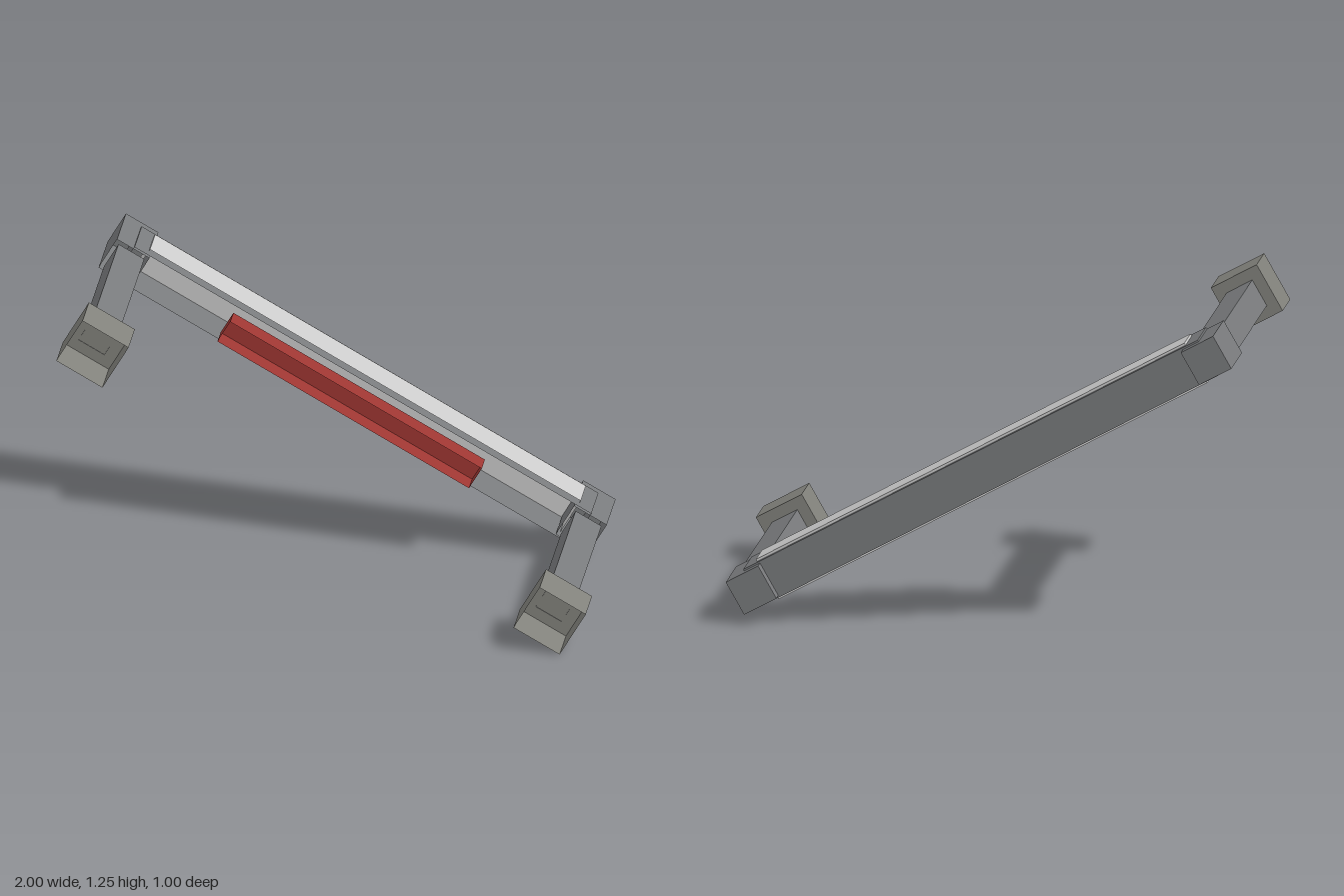
import * as THREE from 'three';

// Box from z0 (back) to z1, left open on its +z side like a shallow tray
function openBox(name, color, x, width, height, z0, z1) {
  const geo = new THREE.BoxGeometry(width, height, z1 - z0);
  const index = Array.from(geo.index.array);
  index.splice(24, 6); // drop the +z face
  geo.setIndex(index);
  geo.clearGroups();
  const material = new THREE.MeshStandardMaterial({ color, side: THREE.DoubleSide, flatShading: true });
  const mesh = new THREE.Mesh(geo, material);
  mesh.name = name;
  mesh.position.set(x, 0, (z0 + z1) / 2);
  return mesh;
}

export function createModel() {
  const model = new THREE.Group();
  model.name = 'slantedHandle';

  // Everything is built along x, then tilted
  const frame = new THREE.Group();
  frame.name = 'tiltedFrame';
  frame.position.y = 0.63;
  frame.rotation.z = -0.517;
  model.add(frame);

  const metal = 0x797b7d, foot = 0x82827c;

  // Crossbar with a pale insert showing above and below it
  frame.add(openBox('crossbar', metal, 0, 1.985, 0.155, -0.46, -0.283));
  frame.add(openBox('insert', 0xcccccc, 0, 1.872, 0.174, -0.44, -0.312));

  // Red grip on the front of the crossbar
  frame.add(openBox('grip', 0x9e3632, 0, 1.093, 0.098, -0.282, -0.205));

  // Corner block, arm and end cup on both sides
  for (const [side, s] of [['left', 1], ['right', -1]]) {
    const x = s * 0.9935;
    frame.add(openBox(side + 'Corner', metal, x, 0.141, 0.141, -0.5, -0.28));
    frame.add(openBox(side + 'Arm', metal, x, 0.112, 0.112, -0.28, 0.345));
    frame.add(openBox(side + 'EndCup', foot, x, 0.2, 0.2, 0.343, 0.5));
  }
  return model;
}
